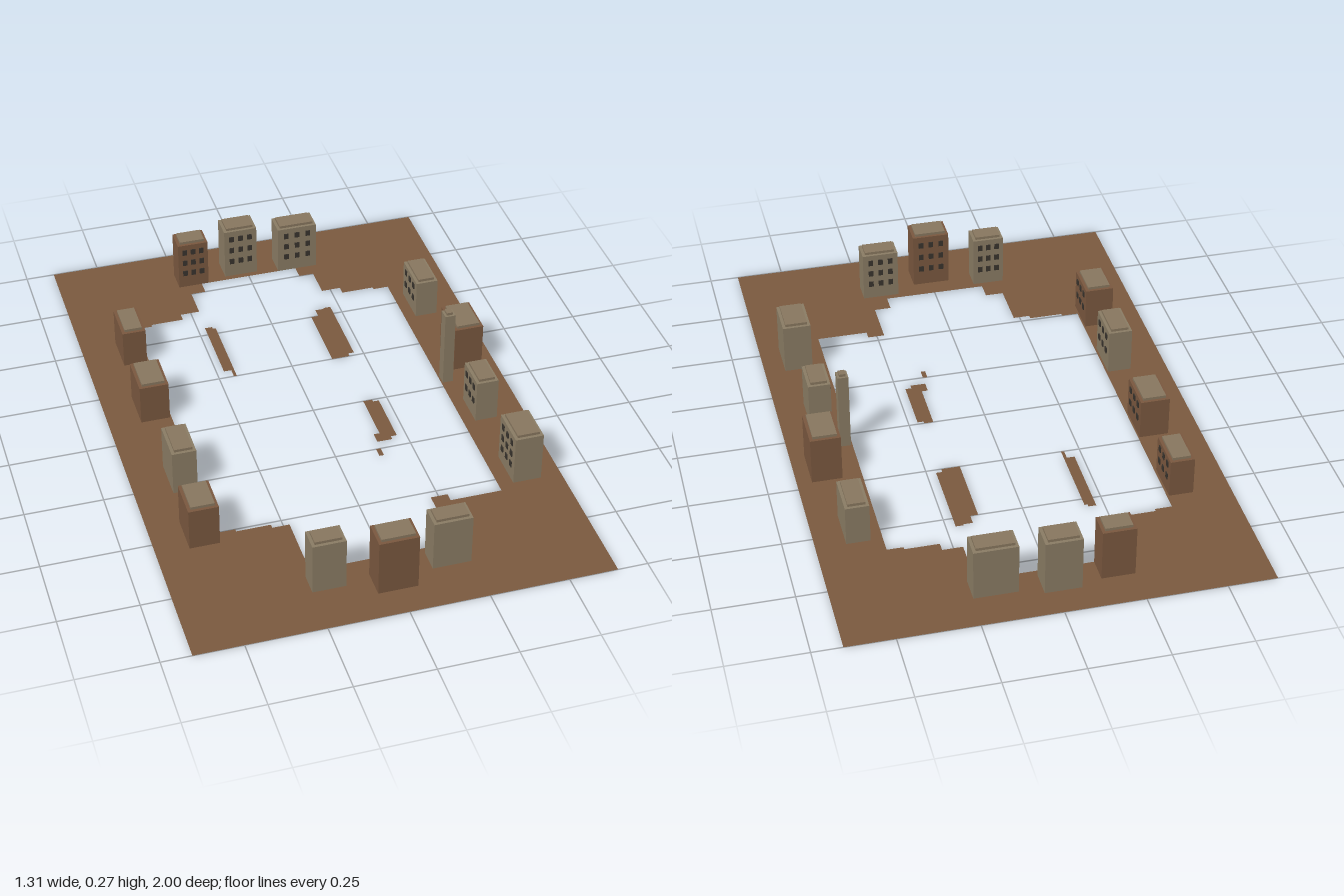
import * as THREE from 'three';

const mat = (name, color, side = THREE.FrontSide) => {
  const m = new THREE.MeshStandardMaterial({ color, side });
  m.name = name;
  return m;
};

// x0, x1, z0, z1, wall height, colour key, side that faces the square
const BUILDINGS = [
  [-0.25, -0.145, 0.765, 0.84, 0.175, 'stone', '-z'],
  [-0.065, 0.06, 0.81, 0.90, 0.19, 'brick', '-z'],
  [0.125, 0.247, 0.765, 0.84, 0.17, 'stone', '-z'],
  [-0.25, -0.145, -0.88, -0.80, 0.17, 'brick', '+z'],
  [-0.08, 0.035, -0.905, -0.82, 0.182, 'stone', '+z'],
  [0.107, 0.245, -0.88, -0.80, 0.17, 'stone', '+z'],
  [0.495, 0.587, 0.395, 0.53, 0.168, 'stone', '-x'],
  [0.487, 0.56, 0.08, 0.20, 0.147, 'stone', '-x'],
  [0.51, 0.607, -0.222, -0.08, 0.158, 'brick', '-x'],
  [0.485, 0.56, -0.545, -0.405, 0.133, 'stone', '-x'],
  [-0.55, -0.455, 0.417, 0.547, 0.142, 'brick', '+x'],
  [-0.535, -0.457, 0.14, 0.28, 0.152, 'stone', '+x'],
  [-0.55, -0.455, -0.235, -0.095, 0.135, 'brick', '+x'],
  [-0.535, -0.457, -0.547, -0.41, 0.128, 'brick', '+x'],
];
const TOWER = [0.452, 0.487, -0.06, -0.022, 0.265, 'stone', null];

// Stepped edge of the open square, as x, z pairs
const SQUARE = [
  [-0.17, -0.80], [0.17, -0.80], [0.17, -0.75], [0.22, -0.75], [0.22, -0.64], [0.285, -0.64],
  [0.285, -0.61], [0.395, -0.61], [0.395, -0.60], [0.447, -0.60], [0.447, 0.555], [0.28, 0.555],
  [0.28, 0.525], [0.225, 0.525], [0.225, 0.685], [0.17, 0.685], [0.17, 0.745], [-0.17, 0.745],
  [-0.17, 0.685], [-0.23, 0.685], [-0.23, 0.525], [-0.285, 0.525], [-0.285, 0.51], [-0.395, 0.51],
  [-0.395, 0.50], [-0.45, 0.50], [-0.45, -0.60], [-0.395, -0.60], [-0.395, -0.61], [-0.285, -0.61],
  [-0.285, -0.64], [-0.22, -0.64], [-0.22, -0.75], [-0.17, -0.75],
];
const ISLANDS = [
  [[-0.225, -0.54], [-0.2, -0.54], [-0.2, -0.53], [-0.19, -0.53], [-0.19, -0.25], [-0.2, -0.25], [-0.2, -0.285], [-0.225, -0.285]],
  [[0.14, -0.5], [0.165, -0.5], [0.165, -0.535], [0.195, -0.535], [0.195, -0.54], [0.22, -0.54], [0.22, -0.265], [0.2, -0.265], [0.2, -0.25], [0.14, -0.25]],
  [[0.17, 0], [0.2, 0], [0.2, 0.01], [0.22, 0.01], [0.22, 0.2], [0.2, 0.2], [0.2, 0.215], [0.15, 0.215], [0.15, 0.175], [0.17, 0.175]],
  [[0.135, 0.25], [0.15, 0.25], [0.15, 0.285], [0.135, 0.285]],
];

const points = (pairs) => pairs.map(([x, z]) => new THREE.Vector2(x, -z));
const rect = (x0, x1, z0, z1) => [[x0, z0], [x1, z0], [x1, z1], [x0, z1]];

export function createModel() {
  const model = new THREE.Group();
  model.name = 'townSquare';
  const mats = {
    earth: mat('earthBrown', 0x7b5a3f, THREE.DoubleSide),
    brick: mat('brickBrown', 0x7a583f, THREE.DoubleSide),
    stone: mat('stoneTan', 0x8a7c64, THREE.DoubleSide),
    roof: mat('roofTan', 0x88775f),
    window: mat('windowDark', 0x38332d),
  };
  const add = (parent, name, geometry, material, x = 0, y = 0, z = 0) => {
    const mesh = new THREE.Mesh(geometry, material);
    mesh.name = name;
    mesh.position.set(x, y, z);
    parent.add(mesh);
    return mesh;
  };

  // Flat ground, open at the square and under each hollow building
  const flat = (shape) => new THREE.ShapeGeometry(shape).rotateX(-Math.PI / 2);
  const ground = new THREE.Shape(points(rect(-0.655, 0.655, -1, 1)));
  ground.holes.push(new THREE.Path(points(SQUARE)));
  for (const [x0, x1, z0, z1] of [...BUILDINGS, TOWER]) {
    ground.holes.push(new THREE.Path(points(rect(x0, x1, z0, z1))));
  }
  add(model, 'ground', flat(ground), mats.earth);
  for (const island of ISLANDS) {
    add(model, 'groundIsland', flat(new THREE.Shape(points(island))), mats.earth);
  }

  // Bottomless box walls, inset roof slab and rows of windows toward the square
  const addBuilding = ([x0, x1, z0, z1, h, key, facing], name) => {
    const building = new THREE.Group();
    building.name = name;
    building.position.set((x0 + x1) / 2, 0, (z0 + z1) / 2);
    model.add(building);
    const w = x1 - x0, d = z1 - z0;

    const walls = new THREE.BoxGeometry(w, h, d);
    const index = Array.from(walls.index.array);
    index.splice(18, 6); // leave out the floor
    walls.setIndex(index);
    walls.clearGroups();
    add(building, 'walls', walls, mats[key], 0, h / 2, 0);

    const inset = Math.min(0.01, w * 0.2);
    add(building, 'roof', new THREE.BoxGeometry(w - 2 * inset, 0.009, d - 2 * inset), mats.roof, 0, h + 0.0045, 0);
    if (!facing) return;

    const facade = new THREE.Group();
    facade.name = 'windows';
    facade.rotation.y = { '+z': 0, '+x': Math.PI / 2, '-z': Math.PI, '-x': -Math.PI / 2 }[facing];
    building.add(facade);
    const alongX = facing.endsWith('z');
    const width = alongX ? w : d, depth = alongX ? d : w;
    const rows = h > 0.16 ? 3 : 2;
    const pane = new THREE.BoxGeometry(0.016, 0.02, 0.004);
    for (let r = 0; r < rows; r++) {
      for (let c = -1; c <= 1; c++) {
        const y = h * (rows === 3 ? 0.33 + 0.25 * r : 0.45 + 0.36 * r);
        add(facade, 'window', pane, mats.window, c * width * 0.28, y, depth / 2 + 0.001);
      }
    }
  };
  for (const b of BUILDINGS) addBuilding(b, 'building');
  addBuilding(TOWER, 'tower');

  return model;
}
